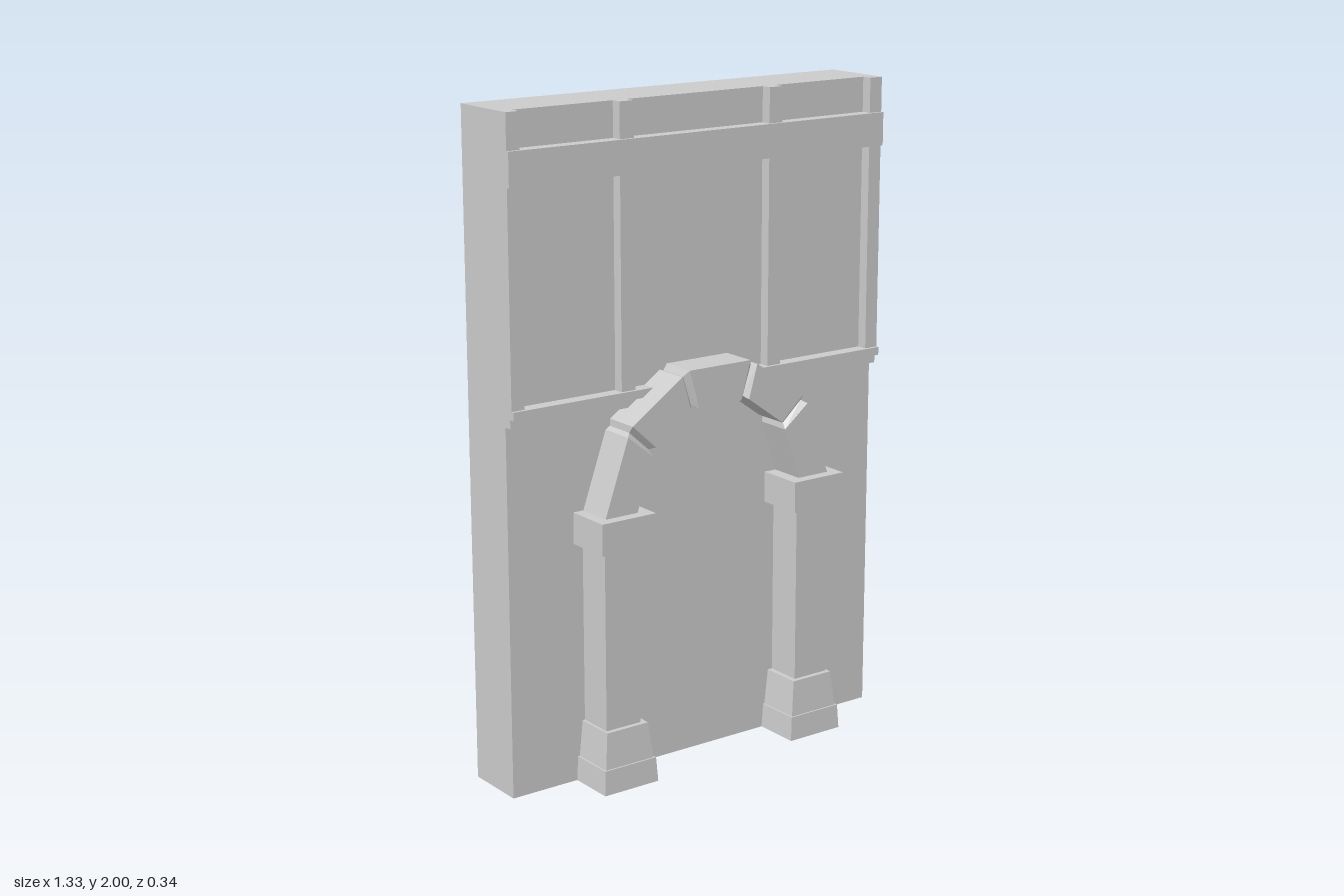
import * as THREE from 'three';
import { ConvexGeometry } from 'three/addons/geometries/ConvexGeometry.js';

const material = new THREE.MeshStandardMaterial({ color: 0xcccccc, flatShading: true });
const WALL = 0.025;   // front face of the wall
const STONE = 0.138;  // front face of shafts and arch stones

function add(parent, name, geometry) {
  const mesh = new THREE.Mesh(geometry, material);
  mesh.name = name;
  parent.add(mesh);
  return mesh;
}

// Box given by its limits
function box(parent, name, x0, x1, y0, y1, z0, z1) {
  const mesh = add(parent, name, new THREE.BoxGeometry(x1 - x0, y1 - y0, z1 - z0));
  mesh.position.set((x0 + x1) / 2, (y0 + y1) / 2, (z0 + z1) / 2);
}

// Block against the wall whose sides and front taper: [x0, x1, z] at bottom and top
function taperedBlock(parent, name, y0, y1, bottom, top) {
  const points = [];
  for (const [y, [x0, x1, z]] of [[y0, bottom], [y1, top]]) {
    for (const x of [x0, x1]) {
      points.push(new THREE.Vector3(x, y, WALL), new THREE.Vector3(x, y, z));
    }
  }
  add(parent, name, new ConvexGeometry(points));
}

// Arch stone through sections [outerX, outerY, innerX, innerY, frontZ]
function archStone(parent, name, sections) {
  const points = [];
  for (const [ox, oy, ix, iy, z] of sections) {
    for (const depth of [WALL, z]) {
      points.push(new THREE.Vector3(ox, oy, depth), new THREE.Vector3(ix, iy, depth));
    }
  }
  add(parent, name, new ConvexGeometry(points));
}

export function createModel() {
  const model = new THREE.Group();
  model.name = 'archedWall';

  box(model, 'wall', -0.665, 0.665, 0, 2, -0.172, WALL);

  // Timber framing on the upper wall
  const framing = new THREE.Group();
  framing.name = 'timberFraming';
  model.add(framing);
  for (const [x0, x1] of [[-0.665, -0.623], [-0.293, -0.245], [0.237, 0.285], [0.62, 0.665]]) {
    box(framing, 'post', x0, x1, 1.17, 2, WALL, 0.058);
  }
  box(framing, 'crossBeam', -0.665, 0.665, 1.795, 1.895, WALL, 0.068);
  box(framing, 'ledgeTop', -0.665, 0.665, 1.145, 1.17, WALL, 0.068);
  box(framing, 'ledgeBottom', -0.665, 0.665, 1.118, 1.145, WALL, 0.05);

  // Sections at the stone ends and at the grooves between them
  const keyEnd = [0.11, 1.222, 0.077, 1.105, STONE];
  const upperGroove = [0.123, 1.203, 0.094, 1.113, 0.122];
  const upperStart = [0.136, 1.207, 0.106, 1.104, STONE];
  const upperEnd = [0.312, 1.088, 0.231, 1.014, STONE];
  const lowerGroove = [0.313, 1.067, 0.246, 1.007, 0.122];
  const lowerStart = [0.328, 1.058, 0.243, 0.99, STONE];
  const lowerEnd = [0.408, 0.83, 0.297, 0.83, STONE];

  for (const side of [-1, 1]) {
    const half = new THREE.Group();
    half.name = side > 0 ? 'leftColumn' : 'rightColumn';
    model.add(half);
    const flip = ([x0, x1, ...rest]) => [side * x0, side * x1, ...rest];
    const span = (a, b) => (side > 0 ? [a, b] : [-b, -a]);

    // Column
    taperedBlock(half, 'plinth', 0, 0.075, flip([0.252, 0.442, 0.172]), flip([0.257, 0.438, 0.168]));
    taperedBlock(half, 'columnBase', 0.075, 0.185, flip([0.262, 0.432, 0.163]), flip([0.275, 0.42, 0.153]));
    box(half, 'shaft', ...span(0.291, 0.412), 0.185, 0.735, WALL, STONE);
    box(half, 'capital', ...span(0.256, 0.443), 0.735, 0.83, WALL, 0.172);

    // Side stones of the arch
    const mirror = ([ox, oy, ix, iy, z]) => [side * ox, oy, side * ix, iy, z];
    archStone(half, 'upperArchStone', [upperGroove, upperStart, upperEnd, lowerGroove].map(mirror));
    archStone(half, 'lowerArchStone', [lowerGroove, lowerStart, lowerEnd].map(mirror));
  }

  // Keystone
  const keyHalf = [keyEnd, upperGroove];
  archStone(model, 'keystone', [
    ...keyHalf,
    ...keyHalf.map(([ox, oy, ix, iy, z]) => [-ox, oy, -ix, iy, z]),
  ]);

  return model;
}
